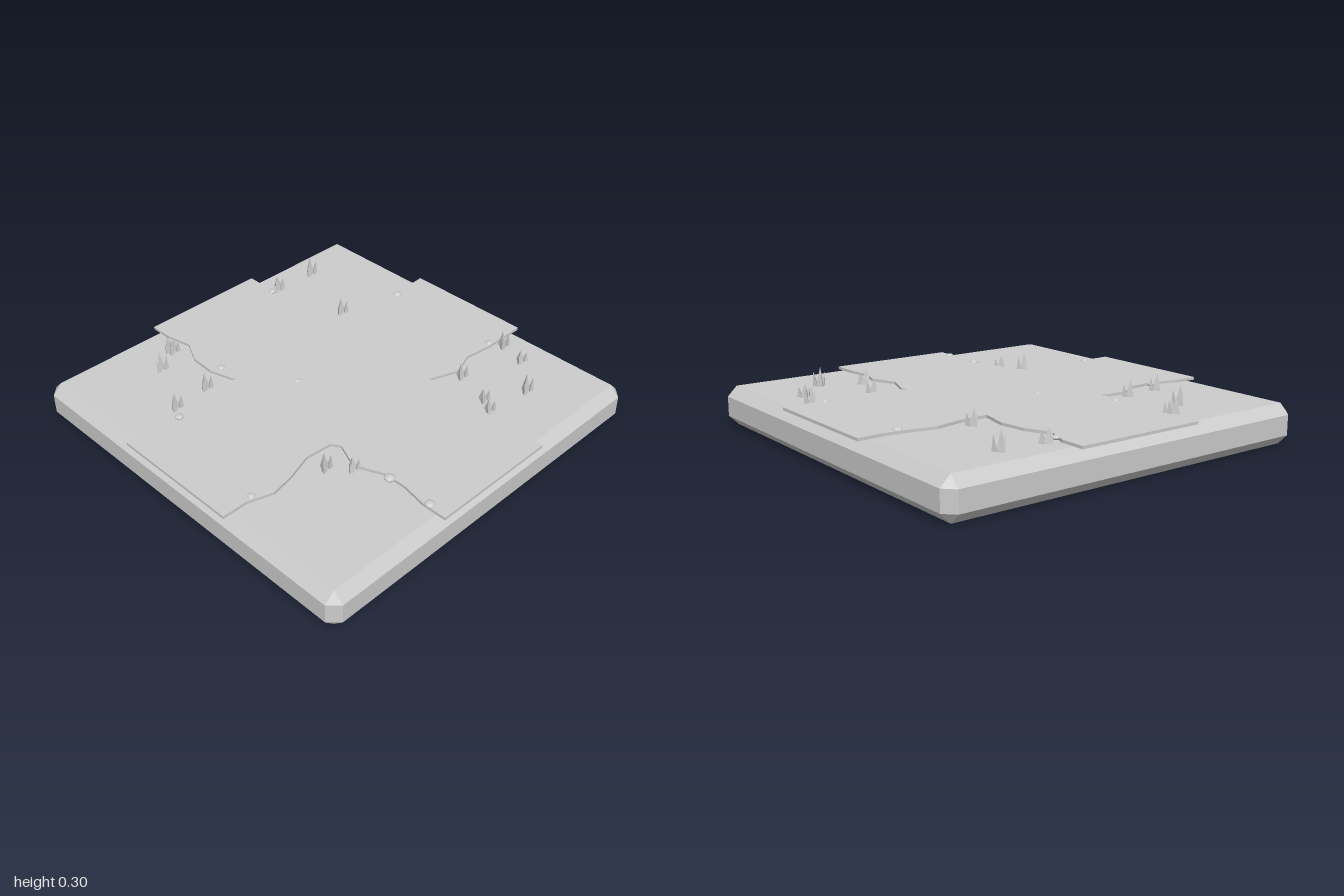
import * as THREE from 'three';
import { ConvexGeometry } from 'three/addons/geometries/ConvexGeometry.js';

const stone = new THREE.MeshStandardMaterial({ color: 0xcccccc, flatShading: true });
stone.name = 'plain grey';

function addMesh(parent, name, geometry) {
  const mesh = new THREE.Mesh(geometry, stone);
  mesh.name = name;
  parent.add(mesh);
  return mesh;
}

// Box with every edge cut at 45 degrees
function chamferedBox(w, h, d, c) {
  const points = [];
  for (const sx of [-1, 1]) for (const sy of [-1, 1]) for (const sz of [-1, 1]) {
    const x = w / 2, y = h / 2, z = d / 2;
    points.push(
      new THREE.Vector3(sx * x, sy * (y - c), sz * (z - c)),
      new THREE.Vector3(sx * (x - c), sy * y, sz * (z - c)),
      new THREE.Vector3(sx * (x - c), sy * (y - c), sz * z));
  }
  return new ConvexGeometry(points);
}

// Crossroads outline as [x, z], one ragged corner per row
const outline = [
  [-0.34, -1], [-0.34, -0.89], [-0.31, -0.75], [-0.37, -0.63], [-0.375, -0.5], [-0.335, -0.36],
  [-0.4, -0.37], [-0.485, -0.375], [-0.6, -0.31], [-0.74, -0.3], [-0.88, -0.34], [-1, -0.345],
  [-1, 0.335], [-0.87, 0.335], [-0.745, 0.375], [-0.62, 0.35], [-0.485, 0.305], [-0.345, 0.315],
  [-0.32, 0.36], [-0.375, 0.49], [-0.315, 0.63], [-0.315, 0.745], [-0.34, 0.875], [-0.34, 1],
  [0.335, 1], [0.335, 0.875], [0.315, 0.74], [0.35, 0.62], [0.295, 0.49], [0.35, 0.345],
  [0.34, 0.305], [0.495, 0.36], [0.62, 0.315], [0.77, 0.335], [1, 0.335],
  [1, -0.345], [0.865, -0.34], [0.76, -0.355], [0.62, -0.38], [0.48, -0.35], [0.335, -0.345],
  [0.365, -0.495], [0.345, -0.63], [0.29, -0.75], [0.335, -0.87], [0.335, -1],
];

// Grass tufts: x, z, height
const tufts = [
  [-0.4, -0.795, 0.08], [-0.395, -0.77, 0.07], [-0.53, -0.695, 0.1], [-0.67, -0.4, 0.085],
  [-0.47, -0.42, 0.085], [0.37, -0.825, 0.065], [0.39, -0.84, 0.07], [0.615, -0.82, 0.1],
  [0.465, -0.425, 0.085], [-0.47, 0.41, 0.09], [-0.385, 0.5, 0.07], [0.48, 0.395, 0.08],
  [0.83, 0.375, 0.09], [0.79, 0.52, 0.065], [0.415, 0.59, 0.065], [0.37, 0.66, 0.065],
  [0.615, 0.69, 0.1],
];

// Pebbles: x, z, radius
const pebbles = [
  [-0.32, -0.485, 0.02], [-0.71, -0.325, 0.02], [0.79, -0.325, 0.024], [-0.125, -0.14, 0.014],
  [0.33, -0.825, 0.02], [-0.83, 0.32, 0.02], [0.79, 0.315, 0.02], [-0.32, 0.66, 0.027],
  [-0.32, 0.895, 0.024],
];

// Blades within a tuft: x, z, radius, relative height, sideways lean
const blades = [
  [0, -0.008, 0.024, 1, 0], [-0.019, 0.009, 0.017, 0.72, -0.15], [0.019, 0.009, 0.017, 0.78, 0.15],
];

function makeTuft([x, z, height], i) {
  const tuft = new THREE.Group();
  tuft.name = 'grassTuft';
  for (const [bx, bz, r, k, lean] of blades) {
    const h = height * k;
    const cone = new THREE.ConeGeometry(r, h, 3).translate(0, h / 2, 0).rotateY(Math.PI);
    const blade = addMesh(tuft, 'grassBlade', cone);
    blade.position.set(bx, 0, bz);
    blade.rotation.z = -lean;
  }
  tuft.position.set(x, 0.2, z);
  tuft.rotation.y = 0.12 * Math.sin(i * 2.3);
  return tuft;
}

export function createModel() {
  const model = new THREE.Group();
  model.name = 'crossroadsTile';

  // Ground block
  addMesh(model, 'groundBlock', chamferedBox(2, 0.2, 2, 0.05)).position.y = 0.1;

  // Thin paving that overhangs the chamfered rim
  const shape = new THREE.Shape(outline.map(([x, z]) => new THREE.Vector2(x, -z)));
  const slab = new THREE.ExtrudeGeometry(shape, { depth: 0.014, bevelEnabled: false });
  addMesh(model, 'crossroads', slab.rotateX(-Math.PI / 2)).position.y = 0.2;

  // Grass
  tufts.forEach((t, i) => model.add(makeTuft(t, i)));

  // Flattened pebbles
  pebbles.forEach(([x, z, r], i) => {
    const pebble = addMesh(model, 'pebble', new THREE.IcosahedronGeometry(r, 1));
    pebble.scale.y = 0.55;
    pebble.rotation.y = i;
    pebble.position.set(x, 0.212, z);
  });

  return model;
}
